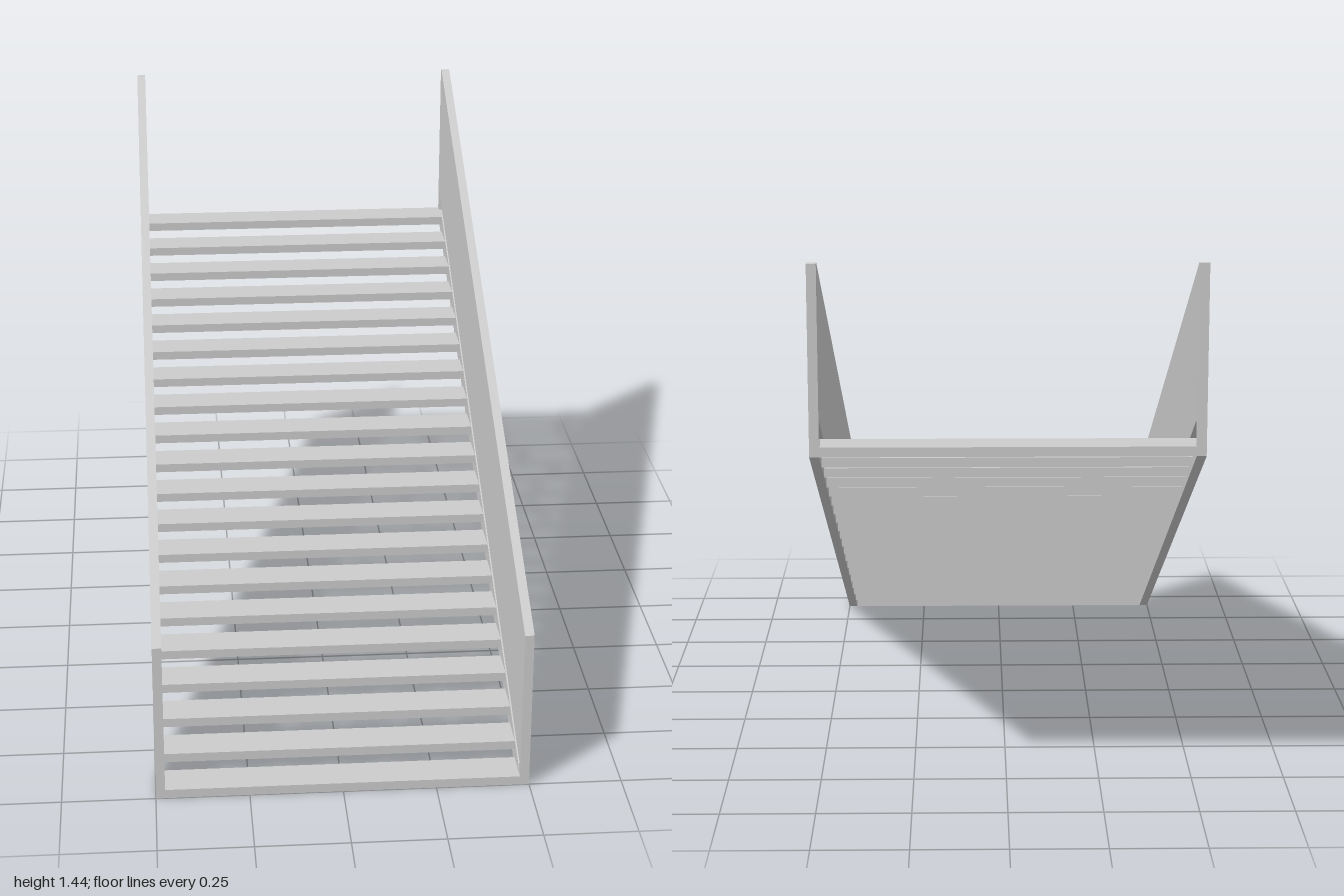
import * as THREE from 'three';

const STEPS = 20, RUN = 0.1, RISE = 0.05, THICK = 0.025;
const WIDTH = 1, SLOPE = RISE / RUN;

export function createModel() {
  const group = new THREE.Group();
  const material = new THREE.MeshStandardMaterial({ color: 0xcccccc, flatShading: true });
  const points = (list) => list.map(([u, v]) => new THREE.Vector2(u, v));
  // height on a line parallel to the flight; u runs from front (-1) to back (1)
  const at = (u, mid) => mid + SLOPE * u;

  // Side wall outline: stringer, end posts and balustrade in one sheet
  const wall = new THREE.Shape(points([
    [-1, 0], [-0.9, 0], [1, at(1, 0.45)], [1, at(0.98, 0.95)],
    [0.98, at(0.98, 0.95)], [-1, at(-1, 0.95)],
  ]));
  // Narrow slot between stringer and balustrade
  wall.holes.push(new THREE.Path(points([
    [-0.98, at(-0.98, 0.525)], [-0.98, at(-0.98, 0.55)], [0.98, at(0.98, 0.55)],
    [0.98, at(0.9, 0.525)], [0.9, at(0.9, 0.525)],
  ])));
  const wallGeometry = new THREE.ExtrudeGeometry(wall, { depth: THICK, bevelEnabled: false });
  wallGeometry.rotateY(Math.PI / 2); // u becomes -z, depth becomes +x
  wallGeometry.translate(-THICK / 2, 0, 0);

  for (const [name, side] of [['leftSideWall', 1], ['rightSideWall', -1]]) {
    const mesh = new THREE.Mesh(wallGeometry, material);
    mesh.name = name;
    mesh.position.x = side * (WIDTH - THICK) / 2;
    group.add(mesh);
  }

  // Open treads between the walls
  const treads = new THREE.Group();
  treads.name = 'treads';
  const treadGeometry = new THREE.BoxGeometry(WIDTH - 2 * THICK, THICK, RUN);
  for (let i = 0; i < STEPS; i++) {
    const tread = new THREE.Mesh(treadGeometry, material);
    tread.name = `tread${i + 1}`;
    tread.position.set(0, i * RISE + THICK / 2, 1 - (i + 0.5) * RUN);
    treads.add(tread);
  }
  group.add(treads);
  return group;
}
